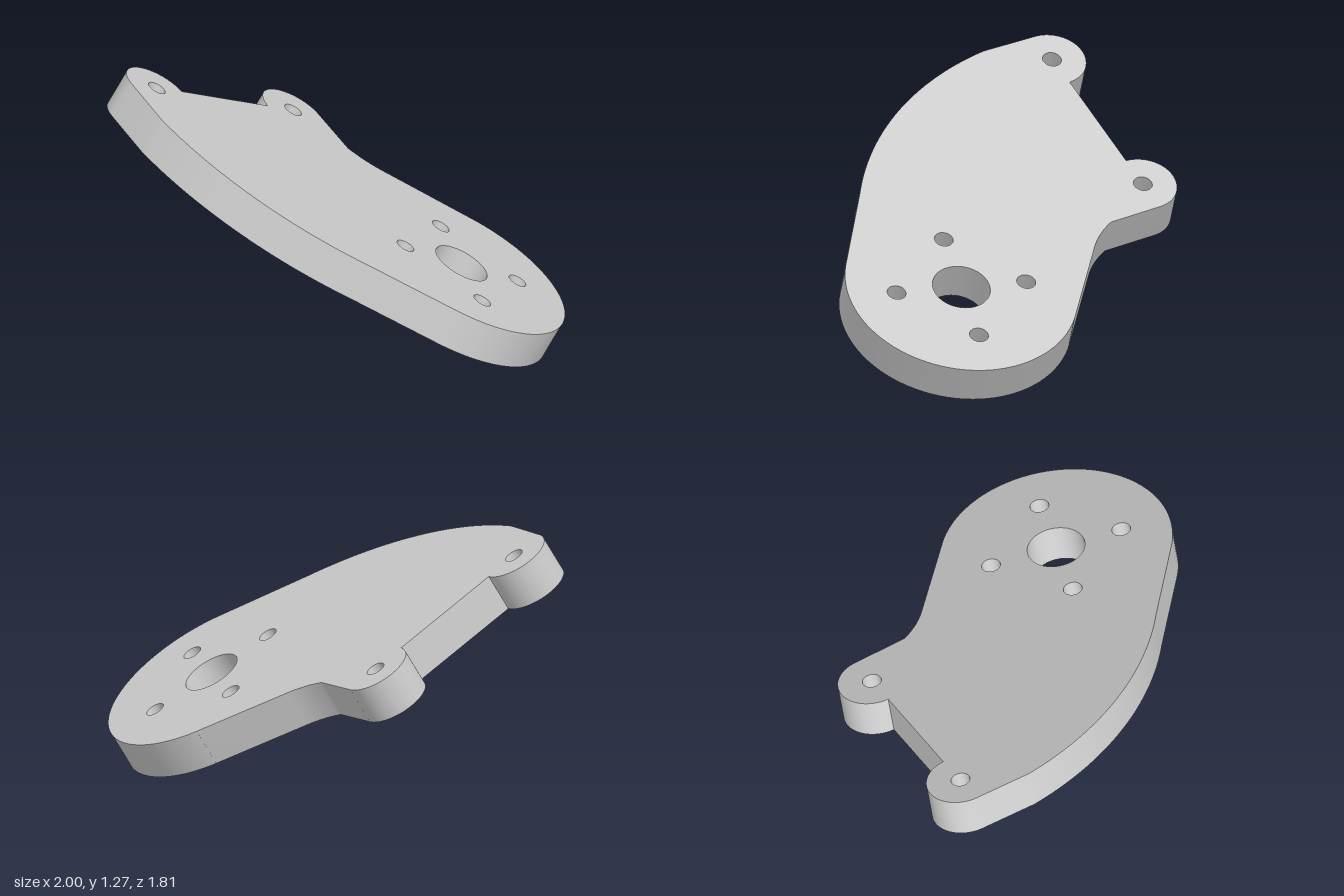
import * as THREE from 'three';
import { toCreasedNormals } from 'three/addons/utils/BufferGeometryUtils.js';

const THICKNESS = 0.197;
const TILT = Math.PI / 6;
const BOSS = { x: 0.585, y: 0.335, r: 0.567 };   // large rounded end
const LUG_A = { x: 0, y: -0.74, r: 0.167 };      // rear lug
const LUG_B = { x: -0.877, y: -0.52, r: 0.167 }; // upper left lug
const BOLT_R = 0.046;

function hole(x, y, r) {
  return new THREE.Path().absarc(x, y, r, 0, Math.PI * 2, true);
}

// Outline in the plane of the plate: x along the slope, y towards the front
function plateShape() {
  const s = new THREE.Shape();
  const arc = (c, from, to) => s.absarc(c.x, c.y, c.r, from, to, false);

  // right edge with a fillet, then the large rounded end
  s.moveTo(0.161, -0.785);
  s.lineTo(0.237, -0.515);
  s.quadraticCurveTo(0.305, -0.433, 0.393, -0.39);
  s.lineTo(0.842, -0.17);
  arc(BOSS, -1.1, 1.983);

  // bowed left edge
  s.lineTo(-0.1, 0.66);
  arc({ x: 0.454, y: -0.77, r: 1.534 }, 1.94, 2.761);

  // the two lugs with the straight notch between them
  arc(LUG_B, 2.899, 6.01);
  arc(LUG_A, 2.9, 6.01);

  // bore, its four bolt holes and one hole in each lug
  s.holes.push(hole(BOSS.x, BOSS.y, 0.141));
  for (let i = 0; i < 4; i++) {
    const a = i * Math.PI / 2;
    s.holes.push(hole(BOSS.x + 0.327 * Math.cos(a), BOSS.y + 0.327 * Math.sin(a), BOLT_R));
  }
  for (const lug of [LUG_A, LUG_B]) s.holes.push(hole(lug.x, lug.y, BOLT_R));
  return s;
}

export function createModel() {
  const group = new THREE.Group();
  group.name = 'mountingBracket';

  const extruded = new THREE.ExtrudeGeometry(plateShape(), {
    depth: THICKNESS, bevelEnabled: false, curveSegments: 28,
  });
  extruded.rotateX(Math.PI / 2); // lay flat, top face at y = 0

  const plate = new THREE.Mesh(
    toCreasedNormals(extruded, 0.45),
    new THREE.MeshStandardMaterial({ color: 0xcccccc }),
  );
  plate.name = 'plate';
  plate.rotation.z = -TILT;
  plate.position.y = 0.75;
  group.add(plate);
  return group;
}
